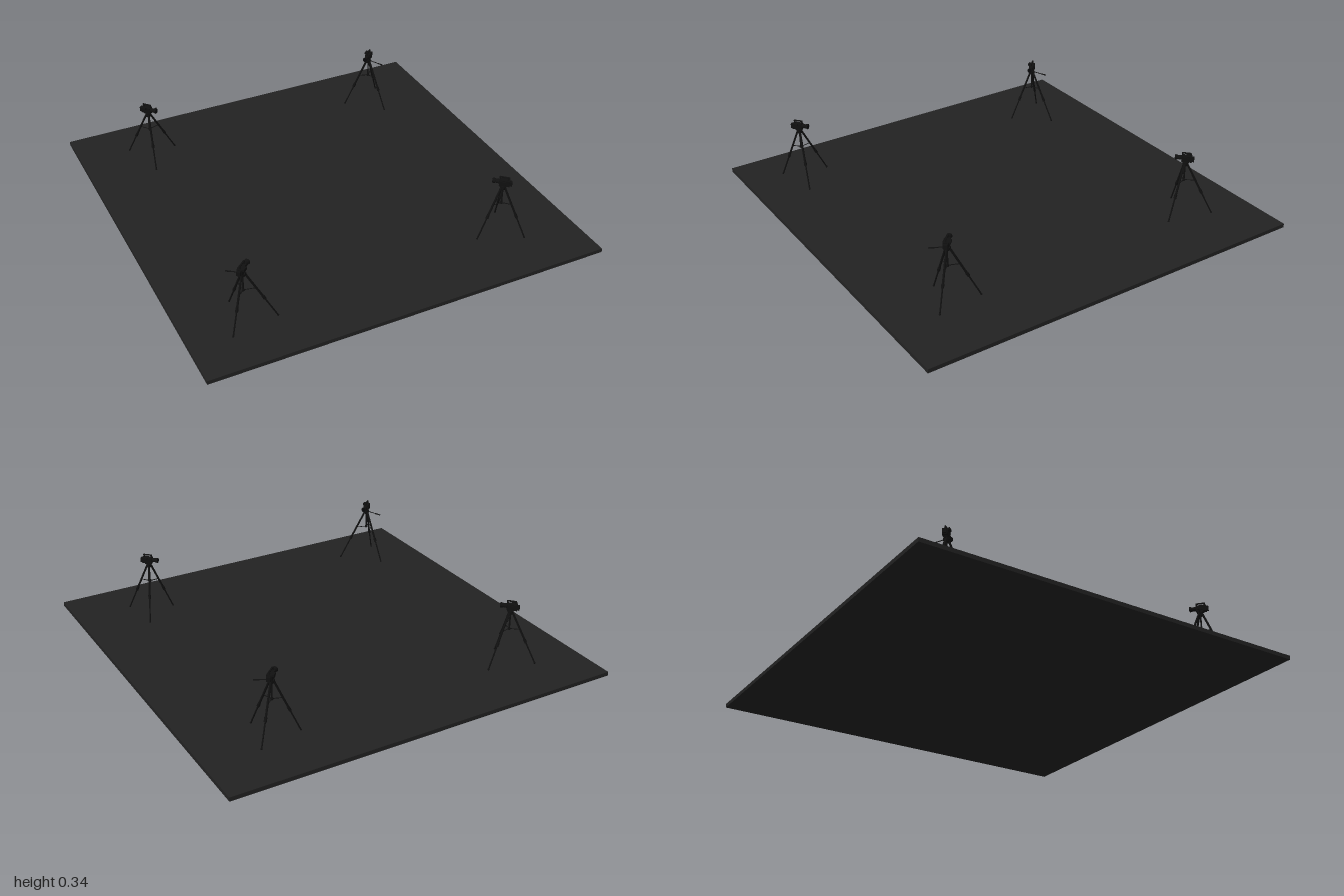
import * as THREE from 'three';

const floorMat = new THREE.MeshStandardMaterial({ color: 0x222222 });
floorMat.name = 'charcoal floor';
const blackMat = new THREE.MeshStandardMaterial({ color: 0x101010 });
blackMat.name = 'black metal';
const glassMat = new THREE.MeshStandardMaterial({ color: 0x08080a });
glassMat.name = 'dark glass';

const V = (x, y, z) => new THREE.Vector3(x, y, z);

function add(parent, name, geometry, x = 0, y = 0, z = 0, mat = blackMat) {
  const m = new THREE.Mesh(geometry, mat);
  m.name = name;
  m.position.set(x, y, z);
  parent.add(m);
  return m;
}

// Round bar between two points
function bar(parent, name, a, b, r0, r1 = r0, sides = 8) {
  const d = b.clone().sub(a);
  const m = add(parent, name, new THREE.CylinderGeometry(r1, r0, d.length(), sides));
  m.position.copy(a).add(b).multiplyScalar(0.5);
  m.quaternion.setFromUnitVectors(V(0, 1, 0), d.normalize());
  return m;
}

const box = (w, h, d) => new THREE.BoxGeometry(w, h, d);
const cylZ = (r0, r1, len) => new THREE.CylinderGeometry(r0, r1, len, 16).rotateX(Math.PI / 2);

// Video camera with its lens along +z, origin at its mounting plate
function makeCamera() {
  const g = new THREE.Group();
  g.name = 'camera';
  add(g, 'mountingPlate', box(0.02, 0.005, 0.034), 0, 0.0025, 0);
  add(g, 'cameraBody', box(0.024, 0.03, 0.05), 0, 0.02, -0.006);
  add(g, 'battery', box(0.018, 0.022, 0.01), 0, 0.019, -0.036);
  add(g, 'lensBarrel', cylZ(0.01, 0.011, 0.022), 0, 0.022, 0.029);
  add(g, 'lensHood', cylZ(0.014, 0.011, 0.012), 0, 0.022, 0.044);
  add(g, 'lensGlass', cylZ(0.0105, 0.0105, 0.002), 0, 0.022, 0.0505, glassMat);
  // carrying handle
  add(g, 'handleGrip', box(0.007, 0.005, 0.046), 0, 0.0485, -0.003);
  for (const z of [-0.022, 0.016]) add(g, 'handlePost', box(0.006, 0.012, 0.006), 0, 0.041, z);
  // viewfinder and side screen
  add(g, 'viewfinder', box(0.01, 0.01, 0.026), -0.017, 0.033, -0.014);
  add(g, 'sideScreen', box(0.004, 0.02, 0.028), 0.014, 0.02, 0);
  return g;
}

// Tripod: apex (x, z), viewing angle in the xz plane, three feet [x, y, z]
function makeStand({ x, z, angle, feet }) {
  const g = new THREE.Group();
  g.name = 'cameraStand';
  const hub = V(x, 0.285, z);

  add(g, 'crown', new THREE.CylinderGeometry(0.014, 0.012, 0.016, 12), x, 0.282, z);
  add(g, 'centreColumn', new THREE.CylinderGeometry(0.004, 0.004, 0.095, 8), x, 0.235, z);
  add(g, 'spreaderHub', new THREE.CylinderGeometry(0.007, 0.007, 0.008, 10), x, 0.195, z);

  for (const f of feet) {
    const foot = V(...f);
    const out = V(foot.x - x, 0, foot.z - z).normalize();
    const top = hub.clone().addScaledVector(out, 0.009);
    const at = t => top.clone().lerp(foot, t);
    bar(g, 'upperLeg', top, at(0.56), 0.0052);
    bar(g, 'legClamp', at(0.53), at(0.6), 0.0072);
    bar(g, 'lowerLeg', at(0.56), foot, 0.0036);
    add(g, 'footPad', new THREE.SphereGeometry(0.005, 8, 6)).position.copy(foot);
    bar(g, 'spreaderArm', V(x, 0.195, z), at(0.34), 0.002, 0.002, 6);
  }

  // fluid head turned toward the subject
  const head = new THREE.Group();
  head.name = 'panHead';
  head.position.set(x, 0.288, z);
  head.rotation.y = Math.PI / 2 - angle;
  add(head, 'headBase', new THREE.CylinderGeometry(0.011, 0.013, 0.008, 12), 0, 0.002, 0);
  const pivot = add(head, 'tiltPivot', new THREE.CylinderGeometry(0.007, 0.007, 0.03, 12));
  pivot.rotation.z = Math.PI / 2;
  bar(head, 'panArm', V(0.01, 0, 0), V(0.06, -0.01, 0), 0.0022);
  bar(head, 'panGrip', V(0.055, -0.009, 0), V(0.082, -0.014, 0), 0.0034);
  const cam = makeCamera();
  cam.position.y = 0.004;
  head.add(cam);
  g.add(head);
  return g;
}

export function createModel() {
  const model = new THREE.Group();
  model.name = 'cameraStage';
  add(model, 'floorSlab', box(2, 0.02, 2), 0, 0.01, 0, floorMat);

  const stands = [
    { x: -0.65, z: -0.67, angle: 0.84, feet: [[-0.74, 0.03, -0.77], [-0.51, 0.03, -0.71], [-0.67, 0.02, -0.55]] },
    { x: 0.63, z: -0.67, angle: 2.4, feet: [[0.735, 0.03, -0.77], [0.51, 0.02, -0.71], [0.675, 0.02, -0.55]] },
    { x: -0.715, z: 0.725, angle: -0.72, feet: [[-0.8, 0.02, 0.8], [-0.57, 0.025, 0.76], [-0.73, 0.028, 0.585]] },
    { x: 0.63, z: 0.675, angle: 3.9, feet: [[0.51, 0.02, 0.677], [0.695, 0.032, 0.545], [0.715, 0.025, 0.77]] },
  ];
  for (const s of stands) model.add(makeStand(s));
  return model;
}
